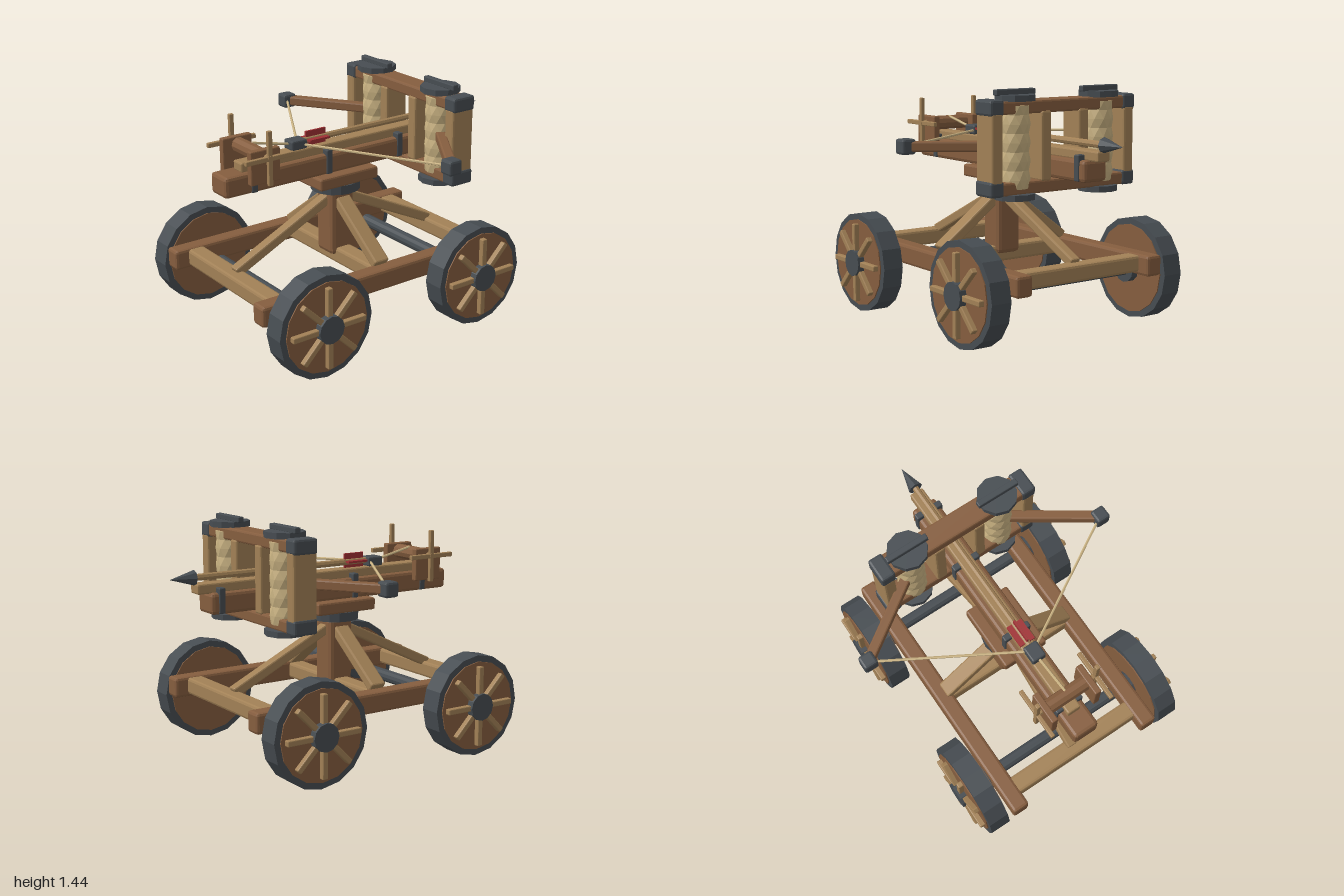
import * as THREE from 'three';
import { RoundedBoxGeometry } from 'three/addons/geometries/RoundedBoxGeometry.js';

const mat = (color) => new THREE.MeshStandardMaterial({ color, flatShading: true });
const V = (x, y, z) => new THREE.Vector3(x, y, z);

export function createModel() {
  const root = new THREE.Group();
  const brown = mat(0x865e3f), wood = mat(0xa28156), iron = mat(0x474d52);
  const rope = mat(0xc9b282), red = mat(0xa03034);

  const add = (name, geo, material, x, y, z, parent = root) => {
    const m = new THREE.Mesh(geo, material);
    m.name = name;
    m.position.set(x, y, z);
    parent.add(m);
    return m;
  };
  // Box with chamfered edges
  const beam = (name, material, w, h, d, x, y, z, parent) =>
    add(name, new RoundedBoxGeometry(w, h, d, 1, Math.min(w, h, d) * 0.16), material, x, y, z, parent);
  // Chamfered beam running from a to b
  const strut = (name, material, a, b, w, h) => {
    const m = beam(name, material, w, h, a.distanceTo(b), 0, 0, 0);
    m.position.copy(a).add(b).multiplyScalar(0.5);
    m.lookAt(b);
    return m;
  };
  // Cylinder along x, y or z
  const rod = (name, material, r, len, axis, x, y, z, sides = 12, parent = root) => {
    const g = new THREE.CylinderGeometry(r, r, len, sides);
    if (axis === 'x') g.rotateZ(Math.PI / 2);
    if (axis === 'z') g.rotateX(Math.PI / 2);
    return add(name, g, material, x, y, z, parent);
  };
  const cord = (name, a, b, r) =>
    add(name, new THREE.TubeGeometry(new THREE.LineCurve3(a, b), 1, r, 6), rope, 0, 0, 0);

  // Wheels and axles
  for (const z of [0.685, -0.442]) {
    rod('axle', iron, 0.04, 1.1, 'x', 0, 0.31, z);
    for (const s of [1, -1]) {
      const wheel = new THREE.Group();
      wheel.name = 'wheel';
      wheel.position.set(s * 0.628, 0.31, z);
      root.add(wheel);
      rod('tire', iron, 0.31, 0.13, 'x', 0, 0, 0, 16, wheel);
      rod('wheelDisc', brown, 0.272, 0.144, 'x', 0, 0, 0, 16, wheel);
      rod('hub', iron, 0.083, 0.235, 'x', 0, 0, 0, 12, wheel);
      for (let i = 0; i < 4; i++) {
        const spoke = beam('spoke', wood, 0.04, 0.49, 0.034, s * 0.084, 0, 0, wheel);
        spoke.rotation.x = i * Math.PI / 4;
      }
    }
  }

  // Chassis
  for (const s of [1, -1]) beam('sideRail', brown, 0.107, 0.124, 1.75, s * 0.475, 0.383, 0.117);
  for (const z of [0.85, -0.62]) beam('crossBeam', wood, 0.9, 0.1, 0.11, 0, 0.388, z);
  beam('middleBeam', wood, 0.9, 0.1, 0.11, 0, 0.388, 0.12);

  // Post with its four braces
  beam('post', brown, 0.165, 0.42, 0.165, 0, 0.6, 0.12);
  for (const s of [1, -1]) {
    strut('sideBrace', wood, V(s * 0.06, 0.74, 0.12), V(s * 0.45, 0.45, 0.12), 0.1, 0.06);
    strut('longBrace', wood, V(0, 0.745, 0.12 + s * 0.06), V(0, 0.43, 0.12 + s * 0.72), 0.065, 0.06);
  }

  // Turntable and stock
  rod('turntable', iron, 0.15, 0.055, 'y', 0, 0.825, 0.12, 16);
  beam('saddle', brown, 0.293, 0.075, 0.42, 0, 0.888, 0.117);
  beam('stock', brown, 0.163, 0.125, 1.705, 0, 0.983, 0.077);
  beam('slider', wood, 0.088, 0.06, 1.645, 0, 1.07, -0.022);
  for (const z of [0.74, 0.22, -0.308, -0.71])
    beam('stockBand', iron, 0.178, 0.15, 0.04, 0, 1.0, z);

  // Bolt, fletching and claw
  rod('boltShaft', wood, 0.02, 1.2, 'z', 0, 1.135, -0.25, 8);
  const tip = new THREE.ConeGeometry(0.045, 0.155, 8);
  tip.rotateX(-Math.PI / 2);
  add('boltHead', tip, iron, 0, 1.135, -0.922);
  for (const [w, h] of [[0.1, 0.012], [0.012, 0.1]])
    add('fletching', new THREE.BoxGeometry(w, h, 0.14), red, 0, 1.138, 0.263);
  beam('claw', iron, 0.09, 0.058, 0.105, 0, 1.128, 0.402);

  // Windlass
  for (const s of [1, -1]) {
    beam('windlassCheek', brown, 0.042, 0.2, 0.195, s * 0.147, 1.1, 0.717);
    beam('handleBar', wood, 0.025, 0.32, 0.028, s * 0.2, 1.155, 0.712);
    beam('handleBar', wood, 0.025, 0.028, 0.32, s * 0.2, 1.155, 0.712);
  }
  rod('windlassRoller', brown, 0.045, 0.27, 'x', 0, 1.15, 0.712, 10);
  rod('windlassAxle', wood, 0.018, 0.43, 'x', 0, 1.155, 0.712, 8);
  cord('windlassRope', V(0, 1.19, 0.7), V(0, 1.13, 0.43), 0.008);

  // Torsion frame
  const fz = -0.43;
  for (const [y, cy] of [[1.335, 1.337], [0.88, 0.885]]) {
    beam('frameBeam', brown, 0.92, 0.074, 0.142, 0, y, fz);
    for (const s of [1, -1]) beam('frameCorner', iron, 0.092, 0.09, 0.157, s * 0.478, cy, fz);
  }
  // Twisted rope skein: faceted cylinder with staggered rings
  const skein = new THREE.CylinderGeometry(0.09, 0.09, 0.47, 10, 9);
  const p = skein.attributes.position;
  for (let i = 0; i < p.count; i++) {
    const row = Math.round((p.getY(i) / 0.47 + 0.5) * 9);
    const a = row * Math.PI / 10, k = row % 2 ? 1 : 0.92;
    const x = p.getX(i) * k, z = p.getZ(i) * k;
    p.setX(i, x * Math.cos(a) - z * Math.sin(a));
    p.setZ(i, x * Math.sin(a) + z * Math.cos(a));
  }
  for (const s of [1, -1]) {
    beam('outerUpright', wood, 0.074, 0.4, 0.155, s * 0.478, 1.11, fz);
    beam('innerUpright', wood, 0.07, 0.4, 0.155, s * 0.136, 1.11, fz);
    add('ropeSkein', skein, rope, s * 0.305, 1.11, fz);
    rod('topWasher', iron, 0.12, 0.035, 'y', s * 0.305, 1.387, fz, 10);
    rod('bottomWasher', iron, 0.12, 0.035, 'y', s * 0.305, 0.83, fz, 10);
    beam('washerBar', iron, 0.27, 0.035, 0.038, s * 0.307, 1.418, fz);
    // Bow arm, tip cap and string
    const end = V(s * 0.81, 1.113, -0.085);
    strut('bowArm', brown, V(s * 0.305, 1.113, fz), end, 0.06, 0.058);
    beam('armCap', iron, 0.088, 0.088, 0.088, end.x, end.y, end.z);
    cord('bowString', end, V(0, 1.125, 0.39), 0.008);
  }
  return root;
}
